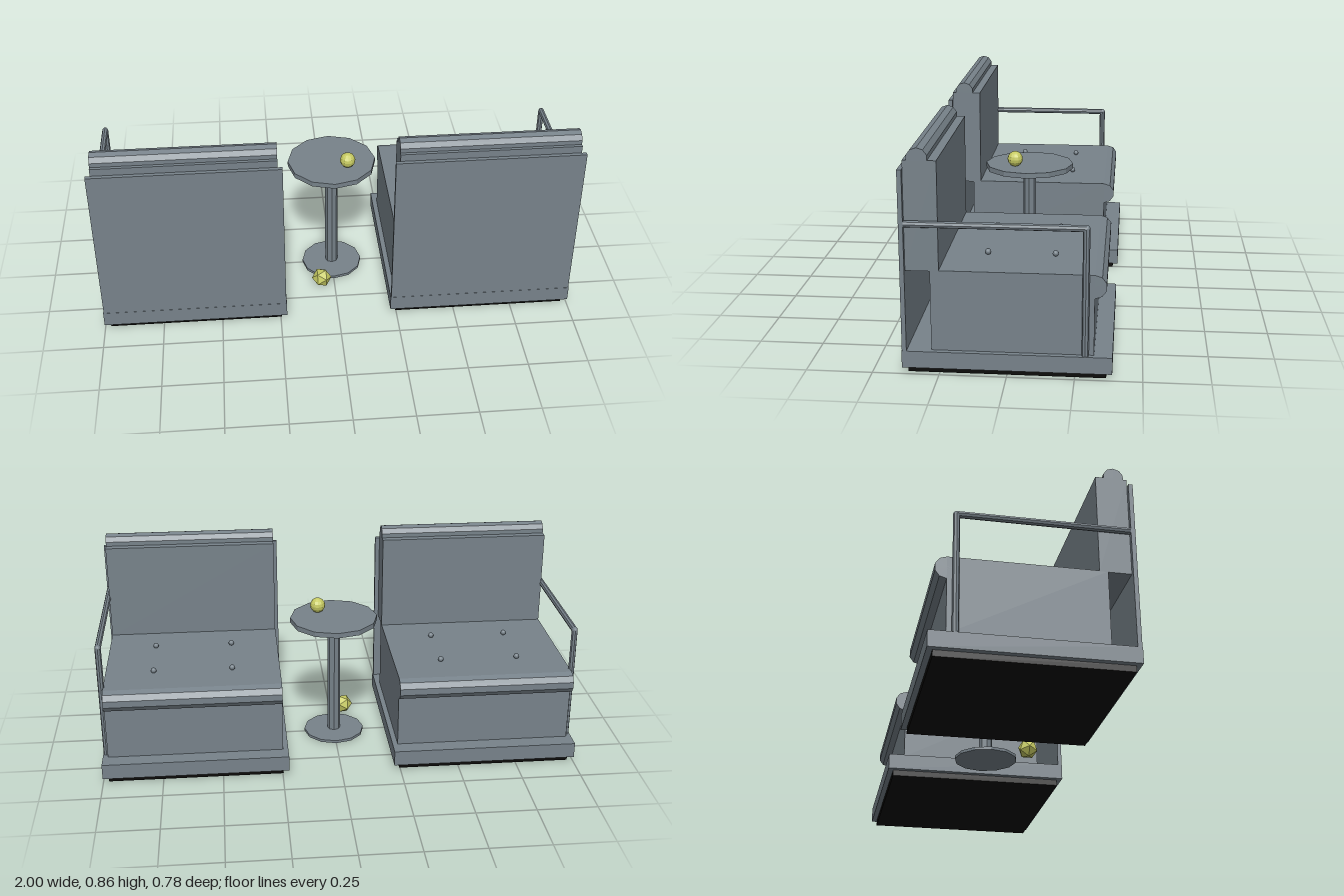
import * as THREE from 'three';

const grey = new THREE.MeshStandardMaterial({ color: 0x77828a });
grey.name = 'slate grey';
const black = new THREE.MeshStandardMaterial({ color: 0x0a0908 });
black.name = 'black';
const yellow = new THREE.MeshStandardMaterial({ color: 0xc6ca62 });
yellow.name = 'yellow';

// Faceted normals for the low-poly look
function faceted(geometry) {
  const g = geometry.index ? geometry.toNonIndexed() : geometry;
  g.computeVertexNormals();
  return g;
}

function add(parent, name, geometry, material, x, y, z) {
  const mesh = new THREE.Mesh(geometry, material);
  mesh.name = name;
  mesh.position.set(x, y, z);
  parent.add(mesh);
  return mesh;
}

// Box given by its ranges in y and z, centred on x = 0
function slab(parent, name, width, y0, y1, z0, z1, material = grey) {
  return add(parent, name, new THREE.BoxGeometry(width, y1 - y0, z1 - z0), material,
    0, (y0 + y1) / 2, (z0 + z1) / 2);
}

function cylinder(radius, length, sides) {
  return faceted(new THREE.CylinderGeometry(radius, radius, length, sides));
}

// Bench seat; outer is +1 or -1, the side that carries the arm rail
function createBench(outer) {
  const bench = new THREE.Group();
  const width = 0.734;
  slab(bench, 'plinth', 0.73, 0, 0.025, -0.366, 0.368, black);
  slab(bench, 'base', 0.777, 0.025, 0.09, -0.388, 0.388);
  slab(bench, 'seat', width, 0.09, 0.4, -0.32, 0.28);
  slab(bench, 'backCushion', width, 0.397, 0.811, 0.247, 0.37);
  slab(bench, 'backPanel', 0.772, 0.09, 0.78, 0.37, 0.387);

  // Ten-sided rolls along the seat edge and the top of the back
  const rolls = [['seatRoll', 0.045, 0.355, -0.32], ['headRoll', 0.04, 0.817, 0.318]];
  for (const [name, radius, y, z] of rolls) {
    const geometry = cylinder(radius, width, 10);
    geometry.rotateY(Math.PI / 2).rotateZ(Math.PI / 2);
    add(bench, name, geometry, grey, 0, y, z);
  }

  // Upholstery buttons
  for (const x of [-0.165, 0.165])
    for (const z of [-0.165, 0.09])
      add(bench, 'button', new THREE.SphereGeometry(0.012, 10, 8), grey, x, 0.41, z);

  // Arm rail: post, corner and bar
  const rail = new THREE.Group();
  rail.name = 'armRail';
  const r = 0.013, railX = outer * 0.374, railY = 0.577, railZ = -0.288;
  add(rail, 'railPost', cylinder(r, railY - 0.09, 8), grey, railX, (railY + 0.09) / 2, railZ);
  add(rail, 'railCorner', new THREE.SphereGeometry(r, 8, 6), grey, railX, railY, railZ);
  const bar = cylinder(r, 0.37 - railZ, 8);
  bar.rotateX(Math.PI / 2);
  add(rail, 'railBar', bar, grey, railX, railY, (0.37 + railZ) / 2);
  bench.add(rail);
  return bench;
}

function createTable() {
  const table = new THREE.Group();
  table.name = 'table';
  add(table, 'tableTop', cylinder(0.189, 0.022, 12), grey, 0, 0.546, 0);
  add(table, 'tablePole', cylinder(0.028, 0.525, 8), grey, 0, 0.2725, 0);
  add(table, 'tableFoot', cylinder(0.132, 0.012, 12), grey, 0, 0.009, 0);
  return table;
}

export function createModel() {
  const model = new THREE.Group();
  model.name = 'boothSeating';
  for (const side of [1, -1]) {
    const bench = createBench(side);
    bench.name = side > 0 ? 'leftBench' : 'rightBench';
    bench.position.x = side * 0.6115;
    model.add(bench);
  }
  model.add(createTable());

  // Loose fruit: one on the table, one on the floor
  add(model, 'tableFruit', faceted(new THREE.SphereGeometry(0.033, 12, 8)), yellow, 0.065, 0.589, 0.057);
  const floorFruit = add(model, 'floorFruit', faceted(new THREE.IcosahedronGeometry(0.043, 0)), yellow,
    -0.058, 0.044, 0.17);
  floorFruit.rotation.z = -1.02;
  return model;
}
